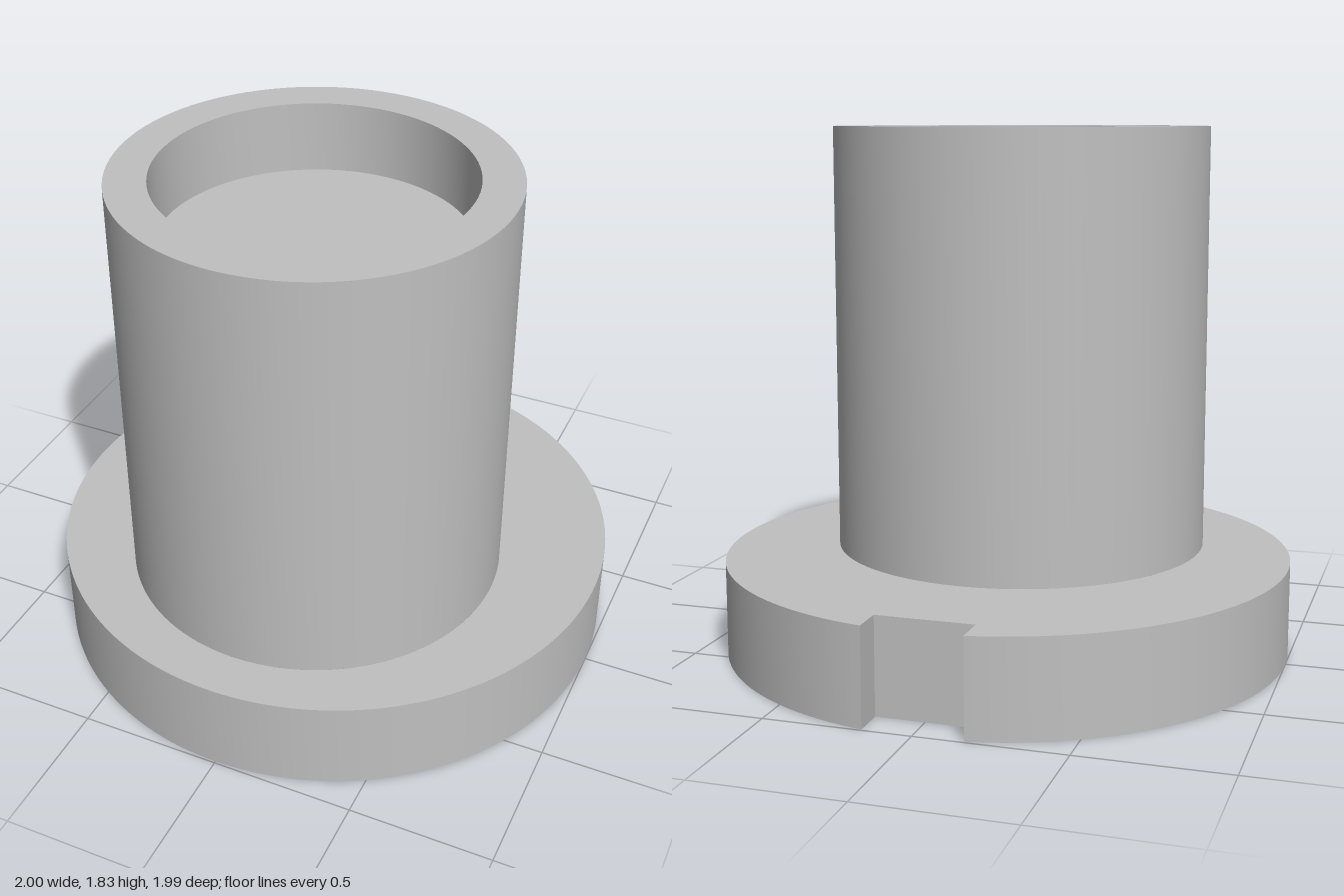
import * as THREE from 'three';
import { toCreasedNormals } from 'three/addons/utils/BufferGeometryUtils.js';

const SEG = 96;
const FLANGE_TOP = 0.333, POST_TOP = 1.833;
const FLANGE_Z = -0.007, POST_OFFSET = 0.165; // the post sits off-centre, towards the front
const POST_R = 0.665, POCKET_R = 0.527, RECESS_R = 0.56;

// Round flange outline of radius 1 with a square keyway at the back
function flangeShape(holeRadius, holeY) {
  const half = 0.167, a = Math.asin(half);
  const shape = new THREE.Shape();
  shape.absarc(0, 0, 1, Math.PI / 2 + a, Math.PI * 2.5 - a, false);
  shape.lineTo(half, 0.873);
  shape.lineTo(-half, 0.873);
  shape.closePath();
  if (holeRadius) {
    const hole = new THREE.Path();
    hole.absarc(0, holeY, holeRadius, 0, Math.PI * 2, true);
    shape.holes.push(hole);
  }
  return shape;
}

// Turned surface with crisp corners
function turned(points) {
  const profile = points.map(([r, y]) => new THREE.Vector2(r, y));
  return toCreasedNormals(new THREE.LatheGeometry(profile, SEG), 0.6);
}

// Only the side walls of the extruded flange
function flangeWall() {
  const solid = new THREE.ExtrudeGeometry(flangeShape(), {
    depth: FLANGE_TOP, bevelEnabled: false, curveSegments: SEG,
  });
  const { start, count } = solid.groups[1];
  const wall = new THREE.BufferGeometry();
  wall.setAttribute('position', new THREE.BufferAttribute(
    solid.attributes.position.array.slice(start * 3, (start + count) * 3), 3));
  return toCreasedNormals(wall.rotateX(-Math.PI / 2), 0.6);
}

export function createModel() {
  const model = new THREE.Group();
  model.name = 'flangedBushing';
  const grey = new THREE.MeshStandardMaterial({ name: 'grey', color: 0xc0c0c0 });

  const add = (name, geometry, z = FLANGE_Z) => {
    const mesh = new THREE.Mesh(geometry, grey);
    mesh.name = name;
    mesh.position.z = z;
    model.add(mesh);
  };

  // Flange: rim with keyway, upper face around the post, lower face around the recess
  add('flangeRim', flangeWall());
  add('flangeTop', new THREE.ShapeGeometry(flangeShape(POST_R, -POST_OFFSET), SEG)
    .rotateX(-Math.PI / 2).translate(0, FLANGE_TOP, 0));
  add('flangeBottom', new THREE.ShapeGeometry(flangeShape(RECESS_R, 0), SEG)
    .rotateX(Math.PI / 2).rotateY(Math.PI));

  // Shallow blind recess under the flange
  add('bottomRecess', turned([[0, 0.3], [RECESS_R, 0.3], [RECESS_R, 0]]));

  // Post with a blind pocket in its top
  add('post', turned([
    [POST_R, FLANGE_TOP], [POST_R, POST_TOP], [POCKET_R, POST_TOP],
    [POCKET_R, POST_TOP - 0.25], [0, POST_TOP - 0.25],
  ]), FLANGE_Z + POST_OFFSET);

  return model;
}
